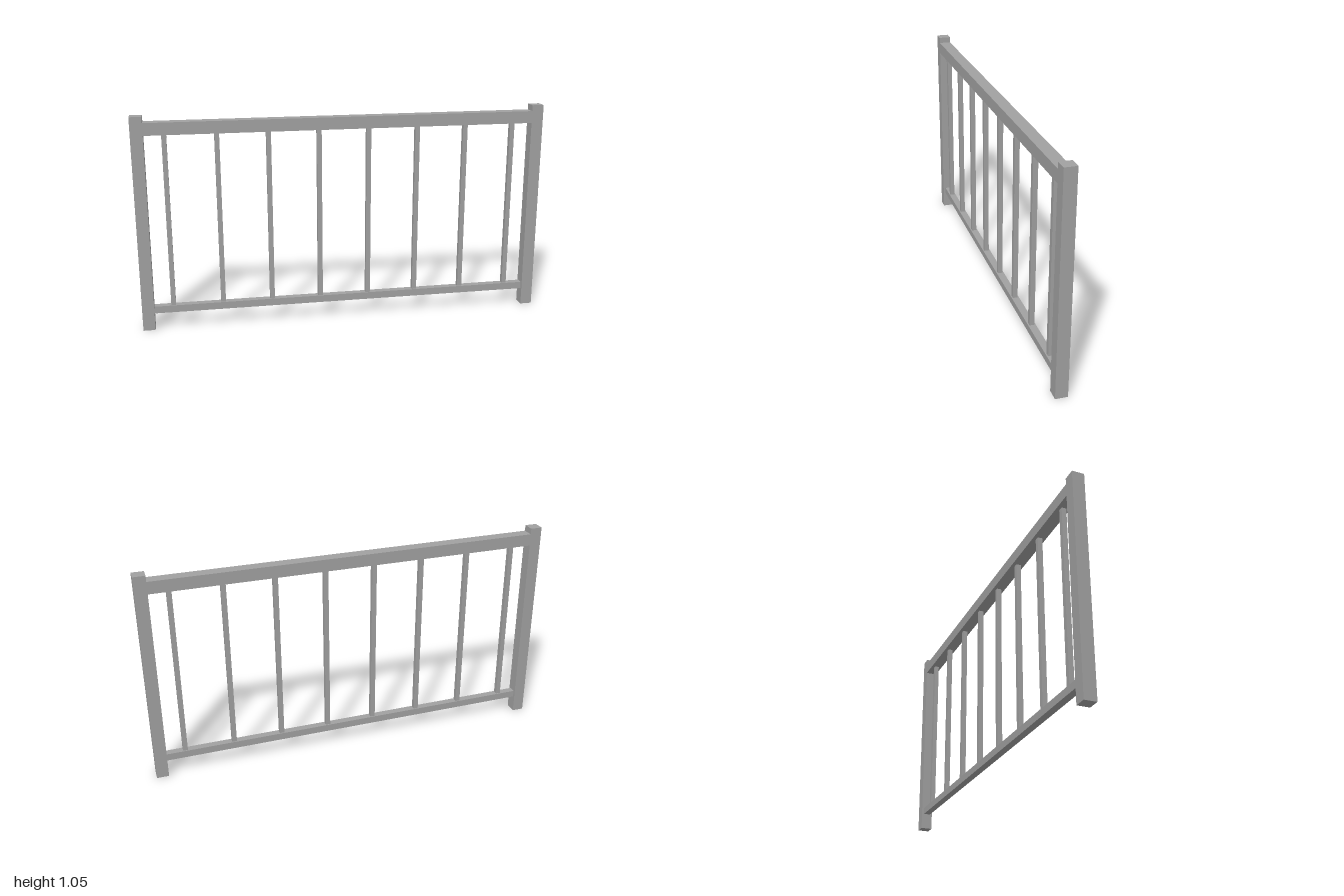
import * as THREE from 'three';

export function createModel() {
  const railing = new THREE.Group();
  railing.name = 'railing';
  const metal = new THREE.MeshStandardMaterial({ color: 0xa0a0a0 });
  metal.name = 'grey metal';

  // Square bar given by its width, bottom, top, depth and x position
  function bar(name, width, bottom, top, depth, x = 0) {
    const mesh = new THREE.Mesh(new THREE.BoxGeometry(width, top - bottom, depth), metal);
    mesh.name = name;
    mesh.position.set(x, (bottom + top) / 2, 0);
    railing.add(mesh);
  }

  const post = 0.058;
  const span = 2 - 2 * post;

  // End posts
  bar('leftPost', post, 0, 1.05, post, 1 - post / 2);
  bar('rightPost', post, 0, 1.05, post, -1 + post / 2);

  // Rails between the posts
  bar('topRail', span, 0.962, 1.021, post);
  bar('bottomRail', span, 0.082, 0.117, 0.035);

  // Evenly spaced balusters
  const count = 8;
  const spacing = 0.2425;
  for (let i = 0; i < count; i++) {
    bar(`baluster${i + 1}`, 0.023, 0.117, 0.962, 0.023, (i - (count - 1) / 2) * spacing);
  }
  return railing;
}
